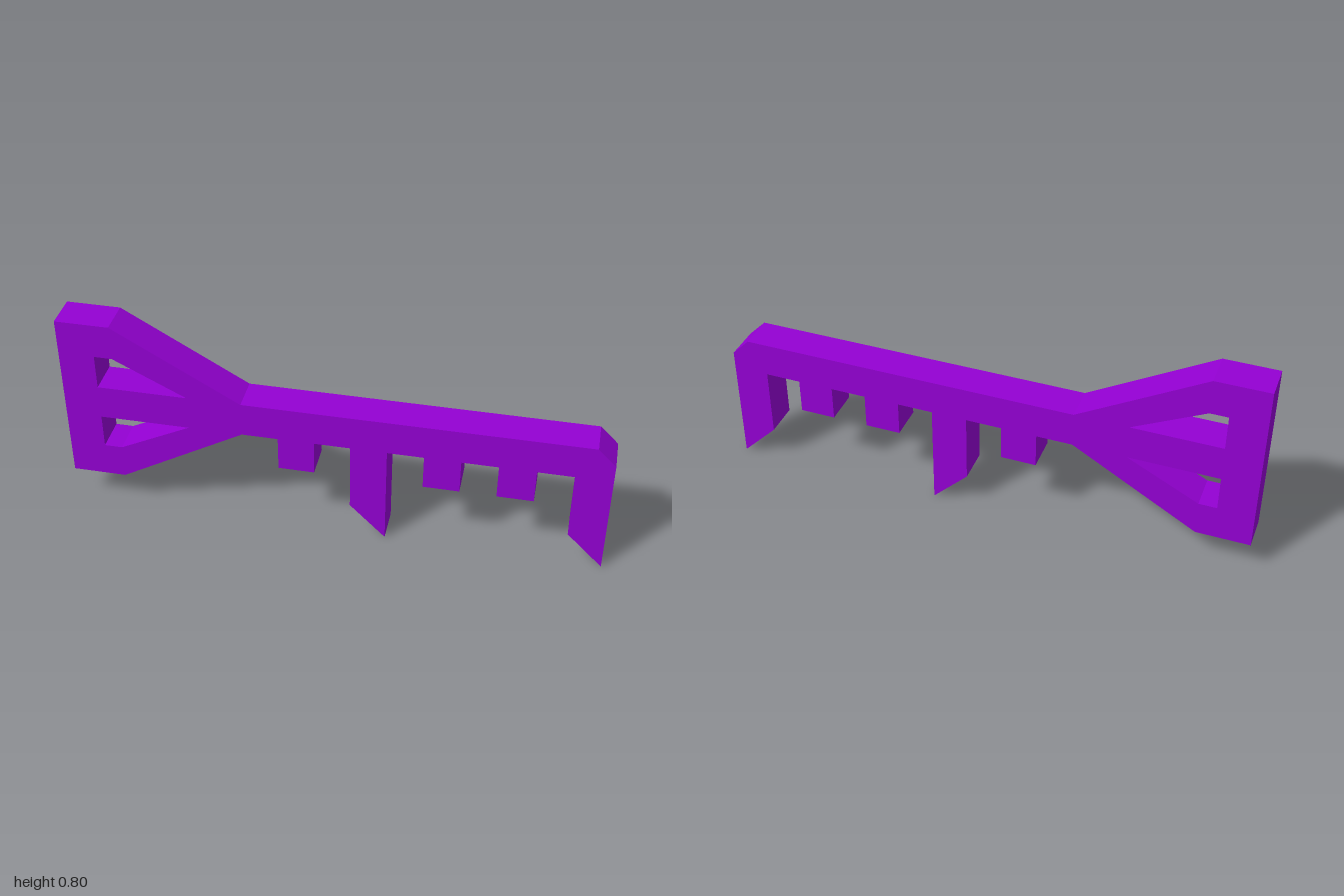
import * as THREE from 'three';

const UNIT = 1 / 15; // the key is laid out on a 30 x 12 x 2 unit grid
const DEPTH = 2;

const toPoints = (pairs) => pairs.map(([x, y]) => new THREE.Vector2(x, y));

// Teeth hang below the shaft (y = 6): each is 2 wide, either square or pointed
const squareTooth = (x) => [[x, 6], [x, 4], [x + 2, 4], [x + 2, 6]];
const pointedTooth = (x) => [[x, 6], [x, 2], [x + 2, 0], [x + 2, 6]];

export function createModel() {
  const group = new THREE.Group();
  group.name = 'key';

  const outline = [
    // lower half of the bow
    [-15, 2], [-12, 2], [-5, 6],
    // teeth along the underside of the shaft
    ...squareTooth(-3),
    ...pointedTooth(1),
    ...squareTooth(5),
    ...squareTooth(9),
    ...pointedTooth(13).slice(0, 3),
    // chamfered tip and top of the shaft
    [15, 7], [14, 8], [-5, 8],
    // upper half of the bow
    [-12, 12], [-15, 12],
  ];
  const shape = new THREE.Shape(toPoints(outline));

  // Two bow openings, mirrored about the shaft's centre line (y = 7)
  for (const side of [1, -1]) {
    const opening = [[-13, 1], [-8, 1], [-12, 3], [-13, 3]];
    shape.holes.push(new THREE.Path(toPoints(opening.map(([x, y]) => [x, 7 + side * y]))));
  }

  const geometry = new THREE.ExtrudeGeometry(shape, { depth: DEPTH, bevelEnabled: false });
  geometry.translate(0, 0, -DEPTH / 2);
  geometry.scale(UNIT, UNIT, UNIT);

  const body = new THREE.Mesh(
    geometry,
    new THREE.MeshStandardMaterial({ color: 0x9400d3, flatShading: true })
  );
  body.name = 'bowShaftAndTeeth';
  group.add(body);

  return group;
}
